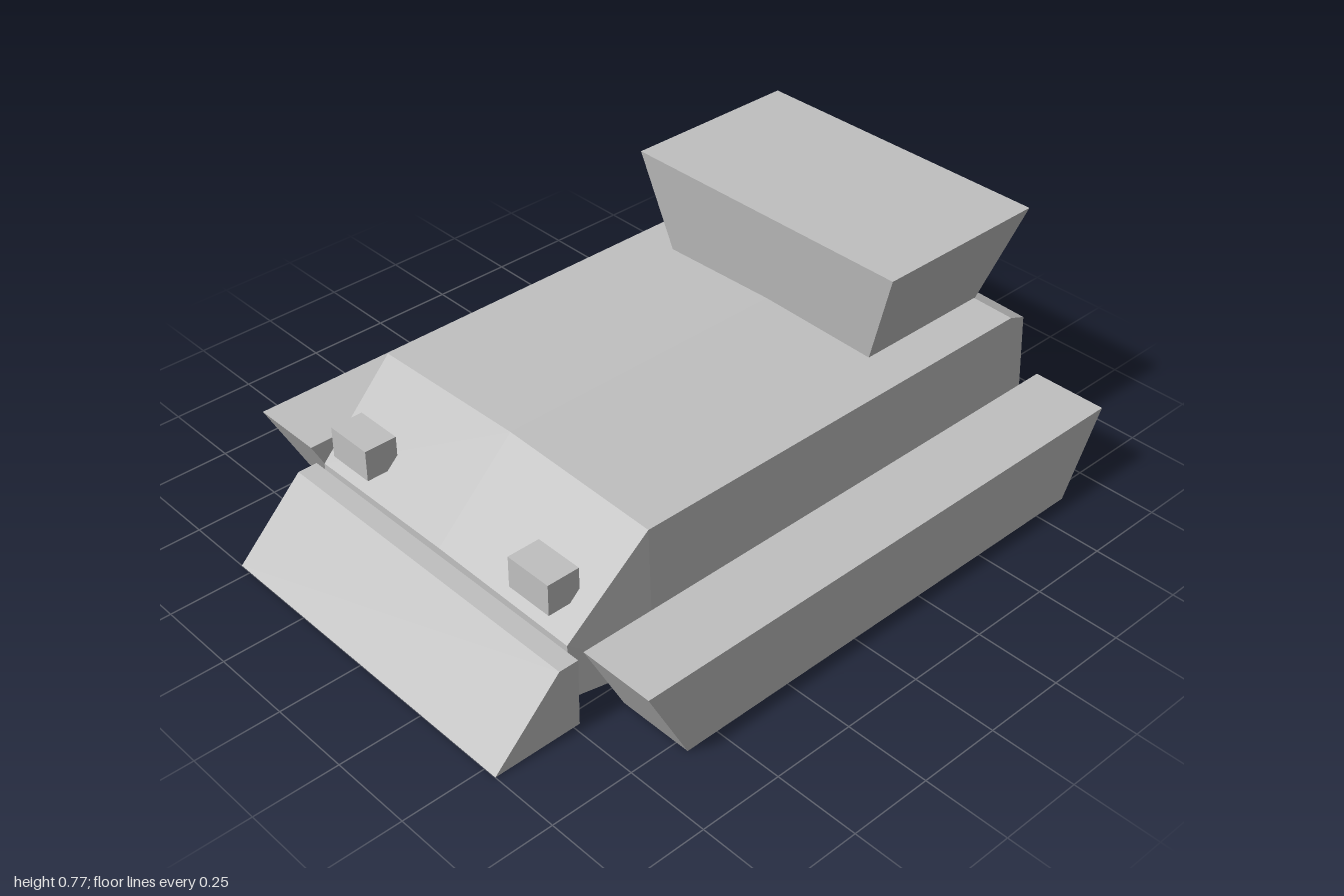
import * as THREE from 'three';

// Solid skinned over matching cross-sections; each ring runs counter-clockwise seen from the end of the loft
function loft(rings) {
  const pos = [];
  const tri = (a, b, c) => pos.push(...a, ...b, ...c);
  const n = rings[0].length;
  for (let s = 0; s < rings.length - 1; s++) {
    for (let i = 0; i < n; i++) {
      const j = (i + 1) % n, a = rings[s], b = rings[s + 1];
      tri(a[i], a[j], b[j]);
      tri(a[i], b[j], b[i]);
    }
  }
  const first = rings[0], last = rings[rings.length - 1];
  for (let i = 1; i < n - 1; i++) {
    tri(first[0], first[i + 1], first[i]);
    tri(last[0], last[i], last[i + 1]);
  }
  const g = new THREE.BufferGeometry();
  g.setAttribute('position', new THREE.Float32BufferAttribute(pos, 3));
  g.computeVertexNormals();
  return g;
}

// Side profile of [z, y] points extruded across x from x0 to x1
function sideExtrude(profile, x0, x1) {
  const shape = new THREE.Shape(profile.map(([z, y]) => new THREE.Vector2(-z, y)));
  const g = new THREE.ExtrudeGeometry(shape, { depth: x1 - x0, bevelEnabled: false });
  return g.rotateY(Math.PI / 2).translate(x0, 0, 0);
}

export function createModel() {
  const model = new THREE.Group();
  model.name = 'trackedVehicle';
  const grey = new THREE.MeshStandardMaterial({ color: 0xc0c0c0, flatShading: true });
  grey.name = 'plainGrey';
  const add = (name, geometry) => {
    const mesh = new THREE.Mesh(geometry, grey);
    mesh.name = name;
    model.add(mesh);
    return mesh;
  };

  // Hull: [z, bottom half width, bottom y, top half width, top edge y, ridge y], back to front
  const sections = [
    [-1.0, 0.51, 0.08, 0.49, 0.41, 0.425],
    [-0.9, 0.54, 0.04, 0.52, 0.465, 0.48],
    [0.48, 0.54, 0.04, 0.52, 0.465, 0.48],
    [0.73, 0.505, 0.06, 0.5, 0.23, 0.235],
  ];
  add('hull', loft(sections.map(([z, bw, by, tw, ty, ry]) =>
    [[-bw, by, z], [bw, by, z], [tw, ty, z], [0, ry, z], [-tw, ty, z]])));

  // Front wedge plate
  add('frontWedge', sideExtrude([[1, 0], [0.73, 0], [0.73, 0.21], [0.79, 0.21]], -0.54, 0.54));

  // Rear superstructure, flaring upward
  const ring = (y, x, zFront, zBack) =>
    [[-x, y, zFront], [x, y, zFront], [x, y, zBack], [-x, y, zBack]];
  add('rearBox', loft([ring(0.46, 0.383, -0.46, -0.903), ring(0.77, 0.48, -0.42, -0.98)]));

  // Tracks and headlights, one per side
  const trackProfile = [[0.73, 0.25], [0.6, 0], [-0.865, 0], [-1, 0.25]];
  for (const [side, s] of [['left', 1], ['right', -1]]) {
    add(side + 'Track', sideExtrude(trackProfile, s > 0 ? 0.56 : -0.79, s > 0 ? 0.79 : -0.56));
    add(side + 'Headlight', new THREE.BoxGeometry(0.15, 0.095, 0.1))
      .position.set(s * 0.365, 0.338, 0.685);
  }
  return model;
}
